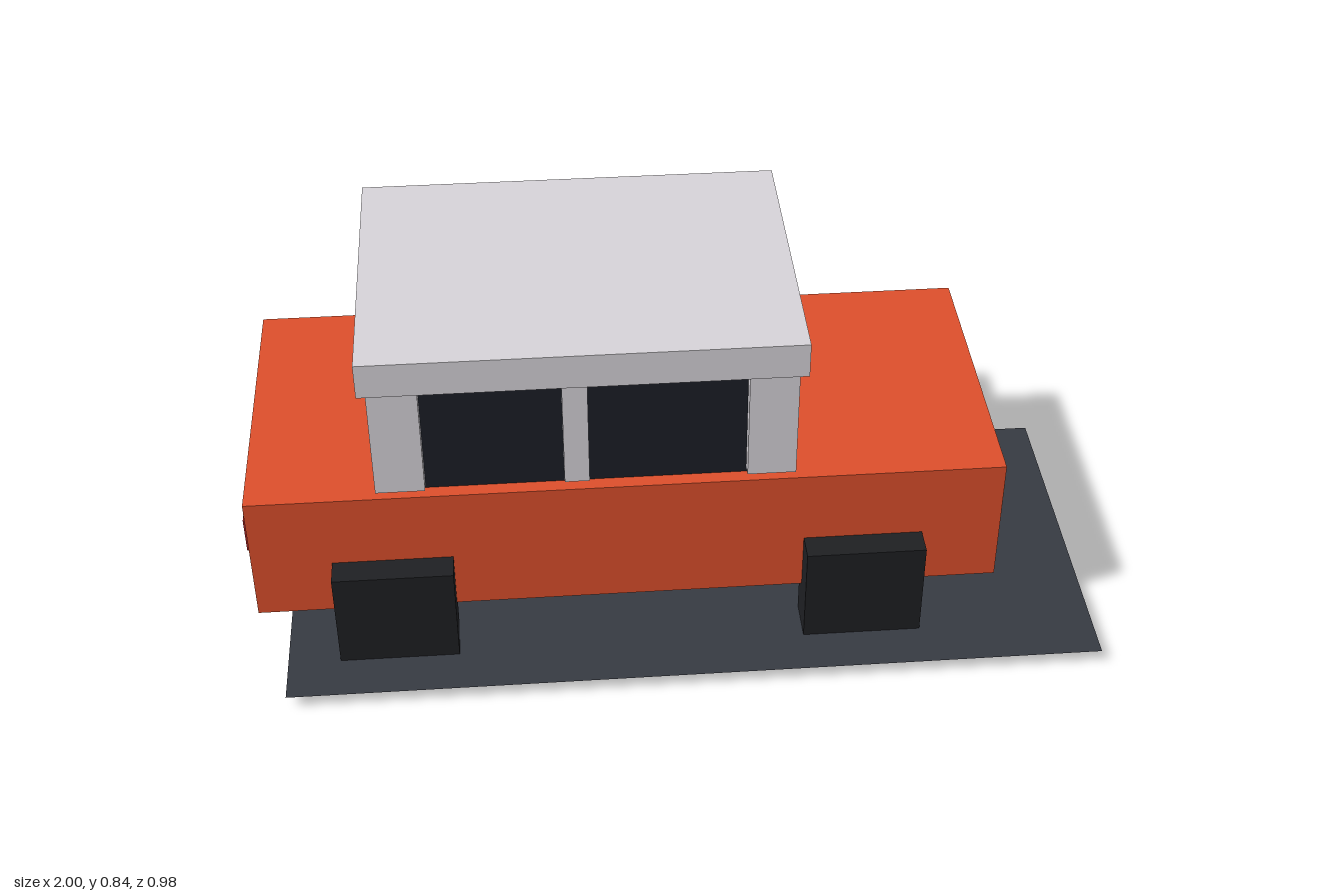
import * as THREE from 'three';

export function createModel() {
  const model = new THREE.Group();
  const mat = (color) => new THREE.MeshStandardMaterial({ color });
  const paint = mat(0xdc4f2b), trim = mat(0xd6d3d8), glass = mat(0x1a1e26);
  const rubber = mat(0x1e1f22), lamp = mat(0xddcf9a), tail = mat(0xa51f1f), asphalt = mat(0x363a42);
  asphalt.side = THREE.DoubleSide;

  // box given by its extents along each axis
  const box = (name, material, [x0, x1], [y0, y1], [z0, z1]) => {
    const mesh = new THREE.Mesh(new THREE.BoxGeometry(x1 - x0, y1 - y0, z1 - z0), material);
    mesh.position.set((x0 + x1) / 2, (y0 + y1) / 2, (z0 + z1) / 2);
    mesh.name = name;
    model.add(mesh);
  };

  // the car's own centre line lies slightly behind z = 0
  const mid = -0.058;
  const pair = (name, material, x, y, inner, outer) => {
    box(name, material, x, y, [mid + inner, mid + outer]);
    box(name, material, x, y, [mid - outer, mid - inner]);
  };

  // body and cabin
  box('body', paint, [-0.985, 0.765], [0.138, 0.465], [mid - 0.367, mid + 0.367]);
  box('windows', glass, [-0.635, 0.23], [0.46, 0.76], [mid - 0.333, mid + 0.333]);
  box('roof', trim, [-0.705, 0.295], [0.754, 0.84], [mid - 0.367, mid + 0.367]);

  // roof pillars: rear, middle, front
  pair('rearPillar', trim, [-0.685, -0.572], [0.479, 0.755], 0.27, 0.362);
  pair('middlePillar', trim, [-0.255, -0.198], [0.479, 0.755], 0.3, 0.356);
  pair('frontPillar', trim, [0.163, 0.275], [0.479, 0.755], 0.27, 0.362);

  // block wheels
  for (const x of [-0.8, 0.3]) pair('wheel', rubber, [x, x + 0.28], [0, 0.281], 0.328, 0.433);

  // lights
  pair('headlight', lamp, [0.755, 0.782], [0.266, 0.371], 0.165, 0.309);
  pair('tailLight', tail, [-1, -0.975], [0.275, 0.366], 0.178, 0.3);

  // flat ground sheet, offset from the car
  const ground = new THREE.Mesh(new THREE.PlaneGeometry(1.922, 0.862), asphalt);
  ground.rotation.x = -Math.PI / 2;
  ground.position.set(0.038, 0.032, 0.057);
  ground.name = 'groundSheet';
  model.add(ground);

  return model;
}
